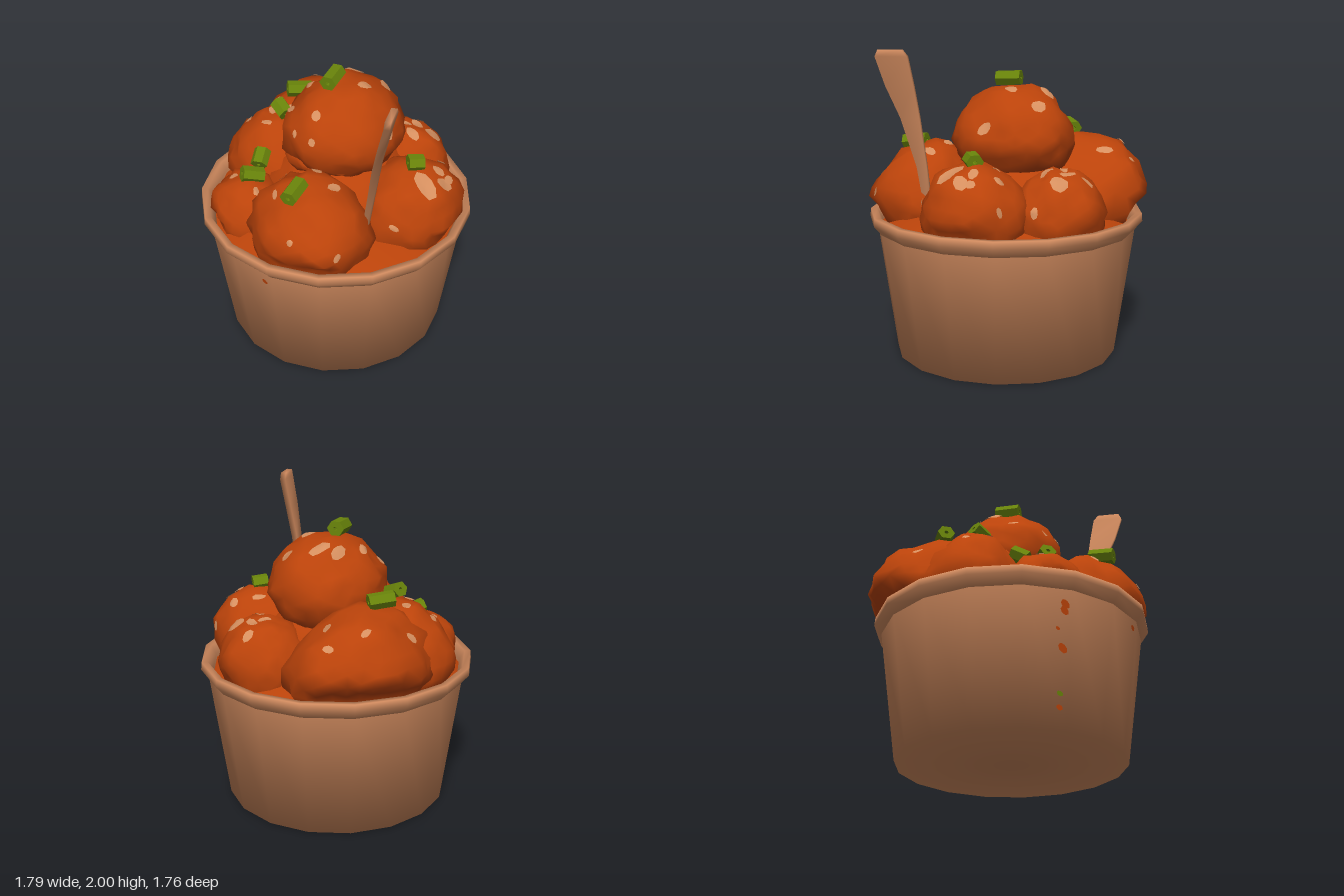
import * as THREE from 'three';
import { mergeVertices, mergeGeometries } from 'three/addons/utils/BufferGeometryUtils.js';

const V = (x, y, z) => new THREE.Vector3(x, y, z);
const paper = new THREE.MeshStandardMaterial({ name: 'paper', color: 0xd08a5e, side: THREE.DoubleSide });
const sauce = new THREE.MeshStandardMaterial({ name: 'sauce', color: 0xbb430a });
const sesame = new THREE.MeshStandardMaterial({ name: 'sesame', color: 0xd58f5f, side: THREE.DoubleSide });
const onion = new THREE.MeshStandardMaterial({ name: 'onion', color: 0x69840a, flatShading: true });

function add(parent, name, geometry, material) {
  const mesh = new THREE.Mesh(geometry, material);
  mesh.name = name;
  parent.add(mesh);
  return mesh;
}

// Shared corners give smooth normals
function smooth(g) {
  g.deleteAttribute('normal');
  g.deleteAttribute('uv');
  const merged = mergeVertices(g, 1e-4);
  merged.computeVertexNormals();
  return merged;
}

// Coarse lumpy ellipsoid, narrower on top, kept inside the cup below the rim
function lump([x, y, z], [rx, ry, rz], seed) {
  const g = smooth(new THREE.IcosahedronGeometry(1, 4));
  const p = g.attributes.position, v = V();
  let state = Math.round(seed * 1000) + 7;
  const random = () => (state = (state * 16807) % 2147483647) / 2147483647;
  for (let i = 0; i < p.count; i++) {
    v.fromBufferAttribute(p, i).normalize();
    const broad = Math.sin(3.1 * v.x + seed) * Math.sin(2.7 * v.y + 2 * seed) + Math.sin(3.7 * v.z + 3 * seed) * Math.sin(2.3 * v.x - seed);
    const fine = Math.sin(7 * v.x + 4 * v.y + seed) * Math.sin(6 * v.z - 5 * v.y + 2 * seed);
    const k = 1 + 0.03 * broad + 0.045 * fine + 0.09 * (random() - 0.5);
    const taper = k * (1 - 0.13 * v.y);
    v.set(x + v.x * rx * taper, y + v.y * ry * k, z + v.z * rz * taper);
    const r = Math.hypot(v.x, v.z);
    const limit = 0.785 + Math.max(0, v.y - 0.93) * 1.2;
    if (r > limit) { v.x *= limit / r; v.z *= limit / r; }
    p.setXYZ(i, v.x, v.y, v.z);
  }
  g.computeVertexNormals();
  return g;
}

// Thin irregular oval laid on whichever surface a ray meets
function patch(targets, origin, dir, a, b, turn) {
  const ray = new THREE.Raycaster(origin, dir);
  const hit = ray.intersectObjects(targets, false)[0];
  if (!hit) return null;
  const n = hit.face.normal.clone();
  const u = V(Math.cos(turn), 0.3, Math.sin(turn)).cross(n).normalize();
  const w = n.clone().cross(u);
  const pts = [], idx = [];
  const drop = (s, t) => {
    const q = hit.point.clone().addScaledVector(u, s).addScaledVector(w, t);
    ray.set(q.clone().addScaledVector(n, 0.08), n.clone().negate());
    const h = ray.intersectObjects(targets, false)[0];
    const end = h && h.distance < 0.16 ? h.point : q;
    pts.push(...end.addScaledVector(n, 0.008).toArray());
  };
  const sides = 9;
  drop(0, 0);
  for (const k of [0.55, 1]) for (let i = 0; i < sides; i++) {
    const t = i / sides * Math.PI * 2, wob = k * (1 + 0.18 * Math.sin(2 * t + turn * 5));
    drop(a * wob * Math.cos(t), b * wob * Math.sin(t));
  }
  for (let i = 0; i < sides; i++) {
    const j = (i + 1) % sides, A = 1 + i, B = 1 + j;
    idx.push(0, A, B, A, A + sides, B + sides, A, B + sides, B);
  }
  const g = new THREE.BufferGeometry();
  g.setAttribute('position', new THREE.Float32BufferAttribute(pts, 3));
  g.setIndex(idx);
  g.computeVertexNormals();
  return g;
}

export function createModel() {
  const model = new THREE.Group();

  // Tapered paper cup and its rolled rim
  const lathe = (pts) => new THREE.LatheGeometry(pts.map(([r, y]) => new THREE.Vector2(r, y)), 17);
  const cup = add(model, 'cup', lathe([[0, 0], [0.725, 0], [0.845, 0.86]]), paper);
  add(model, 'rim', lathe([[0.84, 0.83], [0.89, 0.89], [0.885, 0.94], [0.845, 0.94], [0.815, 0.88], [0.8, 0.8]]), paper);

  // Domed sauce pool between the pieces
  add(model, 'saucePool', lathe([[0.81, 0.86], [0.7, 0.92], [0.4, 1.02], [0, 1.1]]), sauce);

  // Glazed pieces: centre, radii
  const pieces = new THREE.Group();
  pieces.name = 'glazedPieces';
  model.add(pieces);
  const lumps = [
    [[0, 1.45, -0.07], [0.37, 0.31, 0.39]],
    [[-0.03, 1.3, 0.03], [0.3, 0.13, 0.28]],
    [[-0.46, 1.05, -0.24], [0.42, 0.36, 0.48]],
    [[-0.46, 1.03, 0.11], [0.34, 0.33, 0.32]],
    [[0.5, 1.03, -0.19], [0.33, 0.31, 0.34]],
    [[0.1, 1.01, -0.53], [0.31, 0.28, 0.28]],
    [[0.26, 1.03, 0.43], [0.4, 0.33, 0.36]],
    [[-0.24, 0.94, 0.53], [0.28, 0.22, 0.25]],
    [[0, 1.05, -0.05], [0.5, 0.28, 0.46]],
  ];
  lumps.forEach(([c, r], i) => add(pieces, 'glazedPiece', lump(c, r, 1.3 * i + 0.4), sauce));

  // Sesame seeds scattered from above: x, z, size
  const seeds = [
    [0.05, -0.7, 0.045], [0.12, -0.61, 0.05], [0.24, -0.64, 0.07], [0.19, -0.5, 0.05], [0.08, -0.54, 0.04],
    [0.08, -0.34, 0.055], [-0.11, -0.25, 0.065], [-0.19, -0.17, 0.06], [0.11, -0.14, 0.05], [-0.21, 0.03, 0.05],
    [-0.19, 0.2, 0.04], [0.06, 0.21, 0.04], [0.66, -0.15, 0.09], [0.7, -0.27, 0.06], [0.62, -0.3, 0.045],
    [0.42, -0.3, 0.04], [0.53, -0.42, 0.04], [-0.68, -0.42, 0.035], [-0.42, -0.48, 0.05], [-0.74, -0.1, 0.045],
    [-0.52, 0.1, 0.045], [-0.44, -0.01, 0.05], [-0.63, 0.22, 0.035], [-0.43, 0.22, 0.035], [0.36, 0.33, 0.045],
    [0.2, 0.33, 0.04], [0, 0.42, 0.035], [0.14, 0.6, 0.032], [-0.34, 0.57, 0.032], [-0.12, 0.56, 0.032],
    [-0.55, -0.6, 0.035],
  ];
  // Seeds on the steeper sides, cast from the left (z, y, size) and the front (x, y, size)
  const leftSeeds = [[-0.13, 1.51, 0.05], [0.1, 1.07, 0.03], [-0.33, 1.24, 0.04], [-0.58, 1.06, 0.035], [-0.5, 1.09, 0.03]];
  const frontSeeds = [[0.12, 1.51, 0.03], [-0.02, 1.51, 0.025], [0.64, 1.07, 0.03], [0.42, 1.14, 0.025]];
  pieces.updateMatrixWorld(true);
  const casts = [
    ...seeds.map(([x, z, s]) => [V(x, 3, z), V(0, -1, 0), s]),
    ...leftSeeds.map(([z, y, s]) => [V(3, y, z), V(-1, 0, 0), s]),
    ...frontSeeds.map(([x, y, s]) => [V(x, y, 3), V(0, 0, -1), s]),
  ];
  const seedGeo = casts.map(([from, dir, s], i) =>
    patch(pieces.children, from, dir, s, s * 0.7, i * 1.7)).filter(Boolean);
  add(model, 'sesameSeeds', mergeGeometries(seedGeo), sesame);

  // Hollow spring onion pieces: position, heading, tilt, length
  const outline = (r, Kind) => new Kind([...Array(6).keys()].map((i) =>
    new THREE.Vector2(r * Math.cos(i * Math.PI / 3), r * 0.9 * Math.sin(i * Math.PI / 3))));
  const ring = outline(0.056, THREE.Shape);
  ring.holes.push(outline(0.014, THREE.Path));
  const onions = [
    [-0.51, 1.44, -0.12, 2.6, 0.1, 0.16], [-0.41, 1.43, 0.11, 1.5, 0.4, 0.11], [-0.03, 1.79, 0, 0.45, 0.05, 0.16],
    [0.52, 1.35, -0.2, 2.6, 0.1, 0.1], [0.27, 1.36, 0.56, 0.4, 0.1, 0.16], [-0.31, 1.21, 0.37, 0.6, 0.5, 0.11],
    [-0.23, 1.18, 0.5, 2.7, 0.3, 0.14],
  ];
  for (const [x, y, z, heading, tilt, length] of onions) {
    const g = new THREE.ExtrudeGeometry(ring, { depth: length, bevelEnabled: false });
    g.translate(0, 0, -length / 2);
    const m = add(model, 'springOnion', g, onion);
    m.position.set(x, y, z);
    m.rotation.set(tilt, heading, 0, 'YXZ');
  }

  // Flat wooden stick, widening to its end: x, y, z, half width for each row
  const rows = [[0.485, 0.88, 0.205, 0.02], [0.555, 1.27, 0.205, 0.032], [0.627, 1.58, 0.226, 0.06],
    [0.693, 1.78, 0.243, 0.088], [0.75, 1.96, 0.25, 0.1], [0.755, 2, 0.255, 0.075]];
  const stick = new THREE.BoxGeometry(2, 1, 2, 1, rows.length - 1, 1);
  const p = stick.attributes.position;
  for (let i = 0; i < p.count; i++) {
    const [x, y, z, h] = rows[Math.round((p.getY(i) + 0.5) * (rows.length - 1))];
    const s = p.getX(i) * h, t = p.getZ(i) * 0.018;
    p.setXYZ(i, x + 0.54 * s - 0.84 * t, y, z + 0.84 * s + 0.54 * t);
  }
  add(model, 'stick', smooth(stick), paper);

  // Drips on the front of the cup: x, y, half height, half width
  cup.updateMatrixWorld(true);
  const drips = [[-0.335, 0.74, 0.03, 0.024, sauce], [-0.335, 0.7, 0.028, 0.022, sauce], [-0.36, 0.59, 0.013, 0.011, sauce],
    [-0.325, 0.475, 0.032, 0.024, sauce], [-0.31, 0.13, 0.018, 0.018, sauce], [0.25, 0.77, 0.019, 0.019, sauce],
    [-0.315, 0.21, 0.017, 0.017, onion]];
  for (const [x, y, h, w, material] of drips) {
    const g = patch([cup], V(x, y, 3), V(0, 0, -1), h, w, 0);
    if (g) add(model, 'drip', g, material);
  }
  return model;
}
